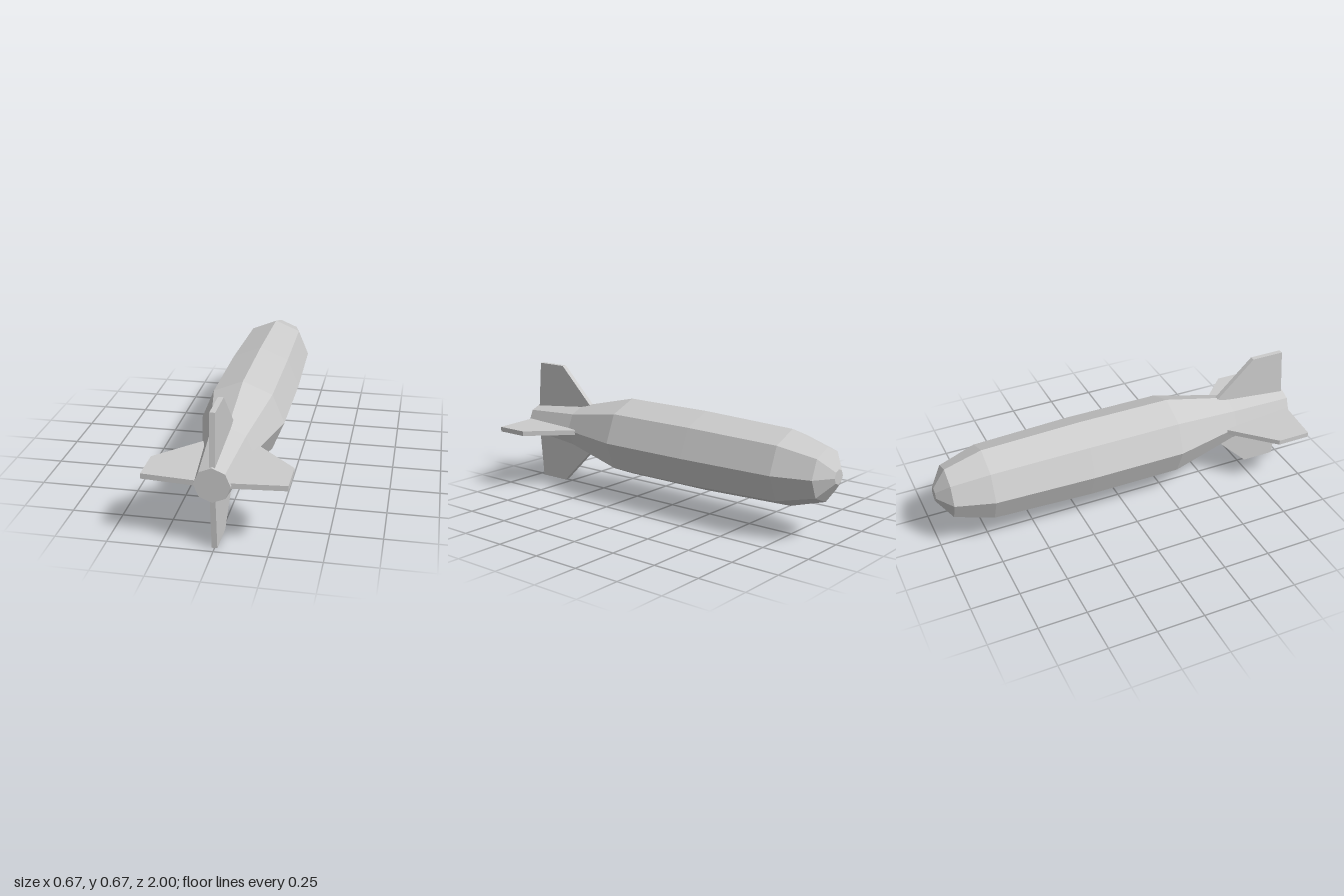
import * as THREE from 'three';

const AXIS_HEIGHT = 0.335;
const FIN_THICKNESS = 0.026;

export function createModel() {
  const group = new THREE.Group();
  group.name = 'finnedBomb';
  const metal = new THREE.MeshStandardMaterial({ color: 0xcccccc, flatShading: true });
  metal.name = 'light grey metal';

  // Eight-sided body: [radius, z] from the blunt nose to the tail cap
  const profile = [
    [0, -1], [0.038, -1], [0.135, -0.935], [0.193, -0.74], [0.21, -0.22],
    [0.21, 0.28], [0.122, 0.65], [0.085, 1], [0, 1],
  ].map(([r, z]) => new THREE.Vector2(r, z));
  const bodyGeometry = new THREE.LatheGeometry(profile, 8);
  bodyGeometry.rotateX(Math.PI / 2);
  const body = new THREE.Mesh(bodyGeometry, metal);
  body.name = 'body';
  body.position.y = AXIS_HEIGHT;
  group.add(body);

  // Swept tail fin outline: (z, distance from the axis)
  const outline = new THREE.Shape([
    [0.585, 0.135], [0.79, 0.335], [0.967, 0.335], [0.99, 0.07], [0.65, 0.11],
  ].map(([z, r]) => new THREE.Vector2(z, r)));
  const finGeometry = new THREE.ExtrudeGeometry(outline, { depth: FIN_THICKNESS, bevelEnabled: false });
  finGeometry.translate(0, 0, -FIN_THICKNESS / 2);
  finGeometry.rotateY(-Math.PI / 2);

  // Four fins around the tail
  ['topFin', 'leftFin', 'bottomFin', 'rightFin'].forEach((name, i) => {
    const fin = new THREE.Mesh(finGeometry, metal);
    fin.name = name;
    fin.position.y = AXIS_HEIGHT;
    fin.rotation.z = -i * Math.PI / 2;
    group.add(fin);
  });

  return group;
}
